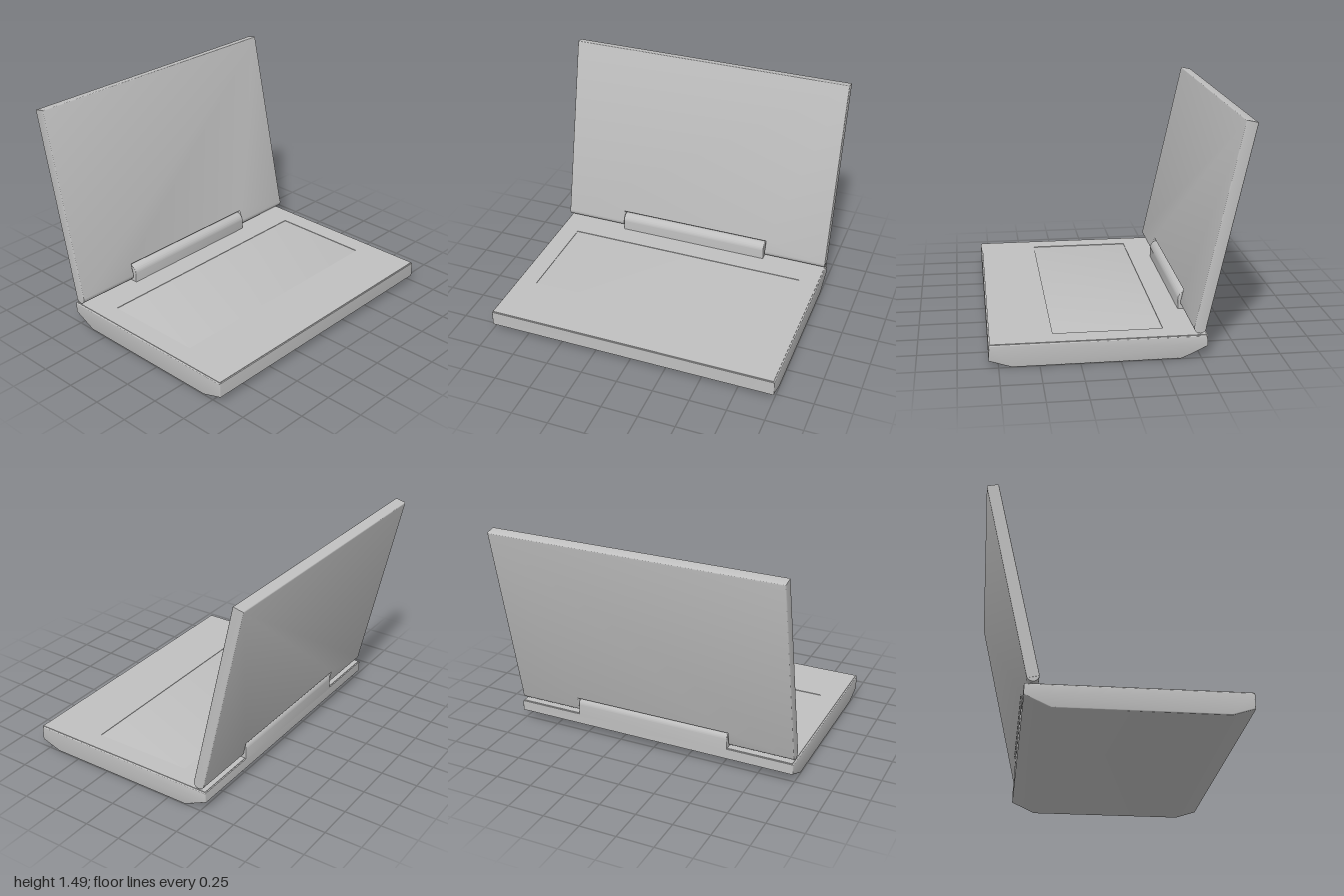
import * as THREE from 'three';
import { toCreasedNormals } from 'three/addons/utils/BufferGeometryUtils.js';

const grey = new THREE.MeshStandardMaterial({ color: 0xc0c0c0 });
grey.name = 'grey casing';

// Extrudes a shape to an exact depth, with small softened edges, centred on its depth.
function softExtrude(shape, depth, soft) {
  const g = new THREE.ExtrudeGeometry(shape, {
    depth: depth - 2 * soft, curveSegments: 20,
    bevelEnabled: soft > 0, bevelThickness: soft, bevelSize: soft, bevelOffset: -soft, bevelSegments: 3,
  });
  g.translate(0, 0, -depth / 2 + soft);
  return toCreasedNormals(g, 0.55);
}

function polygon(points) {
  return new THREE.Shape(points.map(([x, y]) => new THREE.Vector2(x, y)));
}

function part(name, geometry) {
  const mesh = new THREE.Mesh(geometry, grey);
  mesh.name = name;
  return mesh;
}

export function createModel() {
  const model = new THREE.Group();
  model.name = 'laptop';

  // Base: side profile in (-z, y), run across the width, with chamfered underside
  const top = 0.146;
  const baseProfile = polygon([
    [-0.81, top], [-0.81, 0.045], [-0.67, 0], [0.38, 0], [0.54, 0.075], [0.54, top],
  ]);
  model.add(part('base', softExtrude(baseProfile, 2, 0.007).rotateY(Math.PI / 2)));

  // Deck rim: thin frame leaving a shallow keyboard recess
  const rim = polygon([[-0.992, -0.802], [0.992, -0.802], [0.992, 0.532], [-0.992, 0.532]]);
  rim.holes.push(polygon([[-0.86, -0.41], [-0.86, 0.28], [0.86, 0.28], [0.86, -0.41]]));
  const deck = part('deckRim', softExtrude(rim, 0.004, 0).rotateX(-Math.PI / 2));
  deck.position.y = top + 0.002;
  model.add(deck);

  // Hinge cover: arched profile in the middle of the back edge
  const r = 0.053;
  const arch = new THREE.Shape();
  arch.moveTo(-r, 0.14);
  arch.lineTo(r, 0.14);
  arch.lineTo(r, 0.215);
  arch.absarc(0, 0.215, r, 0, Math.PI, false);
  arch.closePath();
  const hinge = part('hingeCover', softExtrude(arch, 1.09, 0.004).rotateY(Math.PI / 2));
  hinge.position.z = -0.488;
  model.add(hinge);

  // Lid: notched panel tilted back about the hinge axis
  const lid = new THREE.Group();
  lid.name = 'lid';
  const thick = 0.077, notch = 0.55, notchTop = 0.075, foot = -0.012, height = 1.313;
  const outline = polygon([
    [-1, foot], [-notch, foot], [-notch, notchTop], [notch, notchTop],
    [notch, foot], [1, foot], [1, height], [-1, height],
  ]);
  lid.add(part('screenPanel', softExtrude(outline, thick, 0.008)));

  // Rounded lower edges of the lid on both sides of the notch
  for (const side of [-1, 1]) {
    const g = new THREE.CylinderGeometry(thick / 2, thick / 2, 1 - notch - 0.004, 32).rotateZ(Math.PI / 2);
    const edge = part(side > 0 ? 'leftLidEdge' : 'rightLidEdge', g);
    edge.position.x = side * (1 + notch) / 2;
    lid.add(edge);
  }
  lid.position.set(0, 0.2, -0.49);
  lid.rotation.x = -0.2165;
  model.add(lid);

  return model;
}
